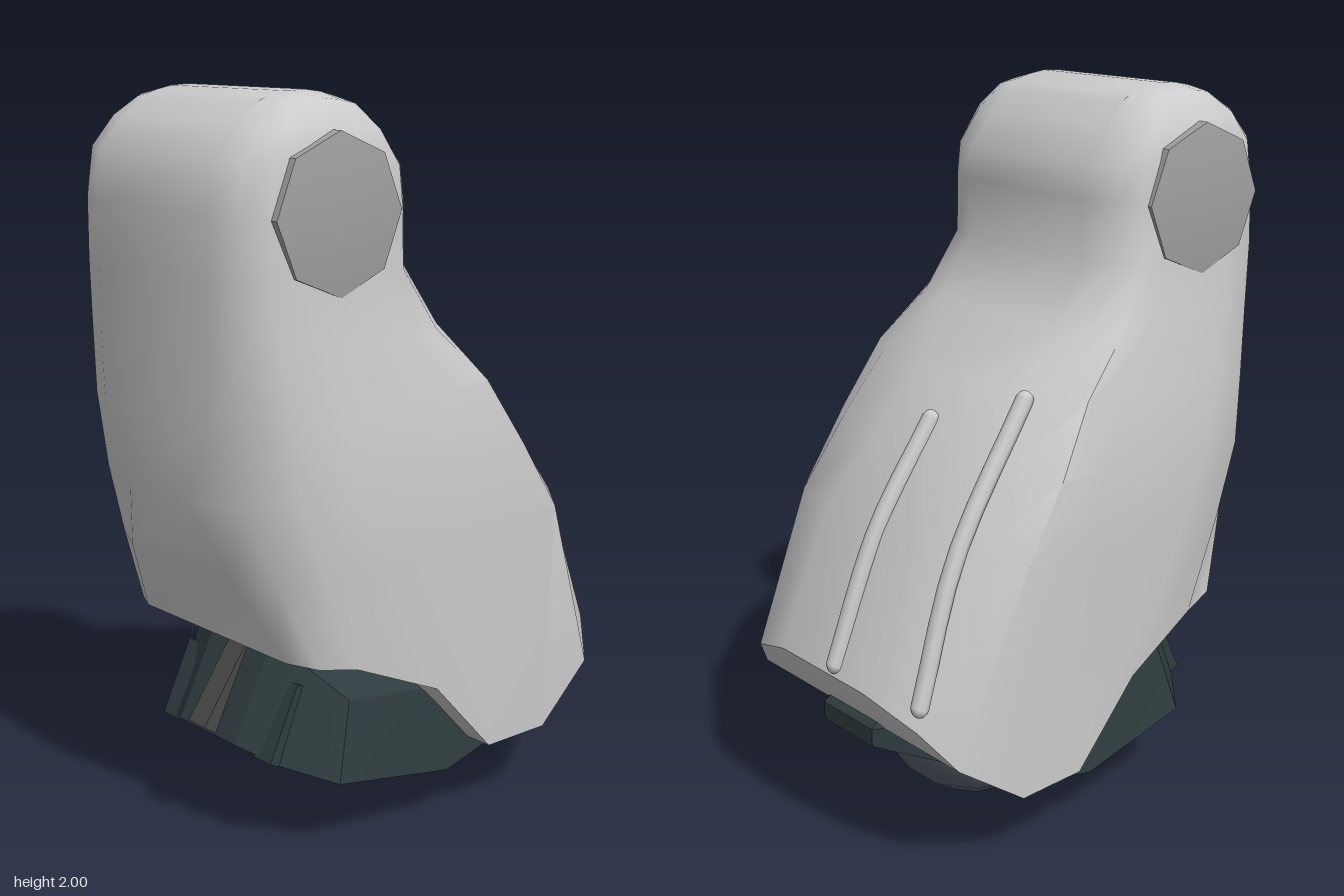
import * as THREE from 'three';
import { toCreasedNormals } from 'three/addons/utils/BufferGeometryUtils.js';

const material = (color = 0xcccccc) => new THREE.MeshStandardMaterial({ color });

function addMesh(parent, name, geometry, mat) {
  const mesh = new THREE.Mesh(geometry, mat);
  mesh.name = name;
  parent.add(mesh);
  return mesh;
}

// Lofts rings, bottom to top. Each ring is its +x half as [x, y, z] from front
// to back; the other half is mirrored and both ends are closed across x.
function loft(rings, crease) {
  const n = rings[0].length;
  const size = 2 * n;
  const positions = [];
  const index = [];
  const quad = (a, b, c, d) => index.push(a, b, c, a, c, d);
  for (const half of rings) {
    const mirrored = half.map(([x, y, z]) => [-x, y, z]).reverse();
    positions.push(...[...half, ...mirrored].flat());
  }
  for (let i = 0; i < rings.length - 1; i++) {
    for (let j = 0; j < size; j++) {
      const a = i * size + j;
      const b = i * size + (j + 1) % size;
      quad(a, b, b + size, a + size);
    }
  }
  const top = (rings.length - 1) * size;
  for (let k = 0; k < n - 1; k++) {
    const m = size - 1 - k;
    quad(k, m, m - 1, k + 1);
    quad(top + k, top + k + 1, top + m - 1, top + m);
  }
  const geometry = new THREE.BufferGeometry();
  geometry.setAttribute('position', new THREE.Float32BufferAttribute(positions, 3));
  geometry.setIndex(index);
  return toCreasedNormals(geometry, crease);
}

// Rounded-rectangle section between a front and a back point; taper narrows
// the front, bulge raises the middle
const DEPTH = [0, 0.05, 0.14, 0.3, 0.5, 0.7, 0.86, 0.95, 1];
const SPREAD = [0, 0.58, 0.92, 1, 1, 1, 0.98, 0.62, 0];
function section({ front, back, flatFront = 0.23, flatBack = 0.23, width, taper = 0, bulge = 0 }) {
  return DEPTH.map((t, i) => {
    const flat = t < 0.5 ? flatFront : flatBack;
    const side = width - taper * Math.max(0, 1 - t / 0.86);
    const z = THREE.MathUtils.lerp(front[0], back[0], t);
    const y = THREE.MathUtils.lerp(front[1], back[1], t);
    return [flat + (side - flat) * SPREAD[i], y + bulge * Math.sin(Math.PI * t), z];
  });
}

function createShell() {
  // Lower rim dips at the sides and rises to the front and back
  const rim = [
    [0.30, 0.575, 0.48], [0.38, 0.57, 0.44], [0.41, 0.55, 0.33],
    [0.445, 0.44, 0.08], [0.45, 0.22, -0.12], [0.46, 0.22, -0.33],
    [0.44, 0.36, -0.53], [0.36, 0.46, -0.60], [0.18, 0.52, -0.64],
  ];
  const sections = [
    { front: [0.58, 0.79], back: [-0.48, 0.89], flatFront: 0.22, flatBack: 0.18, width: 0.485, taper: 0.07 },
    { front: [0.65, 1.0], back: [-0.35, 1.08], flatFront: 0.12, flatBack: 0.14, width: 0.475, taper: 0.06 },
    { front: [0.65, 1.2], back: [-0.22, 1.26], flatFront: 0.22, flatBack: 0.10, width: 0.445, taper: 0.045 },
    { front: [0.65, 1.4], back: [-0.04, 1.4], width: 0.405, taper: 0.02 },
    { front: [0.65, 1.56], back: [0.07, 1.56], width: 0.38 },
    { front: [0.65, 1.72], back: [0.07, 1.72], width: 0.375 },
    { front: [0.63, 1.85], back: [0.08, 1.81], width: 0.37 },
    { front: [0.56, 1.925], back: [0.15, 1.9], width: 0.355 },
    { front: [0.50, 1.968], back: [0.20, 1.955], width: 0.30, bulge: 0.02 },
    { front: [0.48, 1.98], back: [0.22, 1.97], width: 0.235, bulge: 0.025 },
  ];
  return loft([rim, ...sections.map(section)], 0.9);
}

function createCup() {
  const lower = [
    [0.12, 0.30, 0.51], [0.24, 0.26, 0.45], [0.36, 0.22, 0.35],
    [0.385, 0.155, -0.02], [0.37, 0.185, -0.21], [0.11, 0.31, -0.56],
  ];
  const upper = [
    [0.12, 0.535, 0.39], [0.22, 0.52, 0.36], [0.33, 0.43, 0.29],
    [0.36, 0.40, 0.0], [0.34, 0.40, -0.22], [0.11, 0.36, -0.56],
  ];
  // Rounded crown tucked inside the shell
  const crown = [
    [0.10, 0.56, 0.34], [0.16, 0.56, 0.29], [0.22, 0.56, 0.2],
    [0.24, 0.55, 0.0], [0.22, 0.52, -0.2], [0.09, 0.48, -0.42],
  ];
  return loft([lower, upper, crown], 0.3);
}

export function createModel() {
  const model = new THREE.Group();
  model.name = 'jointedLimb';
  const grey = material();
  const dark = material(0x2f3c3f);

  addMesh(model, 'shell', createShell(), grey);

  // Shallow eight-sided pivot caps on both sides of the head
  const capProfile = [[0.2, 0.34], [0.2, 0.385], [0, 0.41]]
    .map(([r, y]) => new THREE.Vector2(r, y));
  const capGeometry = toCreasedNormals(new THREE.LatheGeometry(capProfile, 8), 0.5);
  const capMaterial = material(0xa0a0a0);
  for (const side of [1, -1]) {
    const cap = addMesh(model, side > 0 ? 'leftPivotCap' : 'rightPivotCap', capGeometry, capMaterial);
    cap.position.set(0, 1.71, 0.365);
    cap.rotation.z = -side * Math.PI / 2;
  }

  // Two thin raised rods down the back
  const rodPaths = {
    centreBackRod: [[-0.05, 1.16, -0.3], [-0.05, 0.89, -0.487], [-0.05, 0.55, -0.63]],
    sideBackRod: [[-0.31, 1.25, -0.2], [-0.335, 0.89, -0.45], [-0.365, 0.53, -0.595]],
  };
  for (const [name, points] of Object.entries(rodPaths)) {
    const curve = new THREE.CatmullRomCurve3(points.map((p) => new THREE.Vector3(...p)));
    const rod = addMesh(model, name, new THREE.TubeGeometry(curve, 8, 0.024, 8), grey);
    // Rounded ends close the rod
    for (const p of [points[0], points[2]]) {
      const end = addMesh(rod, 'rodEnd', new THREE.SphereGeometry(0.024, 8, 6), grey);
      end.position.set(...p);
    }
  }

  // Dark cup with three ribs on its sloping front
  addMesh(model, 'cup', createCup(), dark);
  const ribs = [
    { name: 'centreRib', x: 0, y: 0.415, z: 0.447, length: 0.25, tilt: 0.62, mat: material(0x484848) },
    { name: 'leftRib', x: 0.2, y: 0.36, z: 0.408, length: 0.22, tilt: 0.45, mat: dark },
    { name: 'rightRib', x: -0.2, y: 0.36, z: 0.408, length: 0.22, tilt: 0.45, mat: dark },
  ];
  for (const { name, x, y, z, length, tilt, mat } of ribs) {
    const rib = addMesh(model, name, new THREE.BoxGeometry(0.07, length, 0.06), mat);
    rib.position.set(x, y, z);
    rib.rotation.x = -tilt;
  }

  // Ball joint
  const ball = addMesh(model, 'ballJoint', new THREE.SphereGeometry(0.28, 10, 8), material(0x5a5f6c));
  ball.position.set(0, 0.285, -0.12);
  return model;
}
